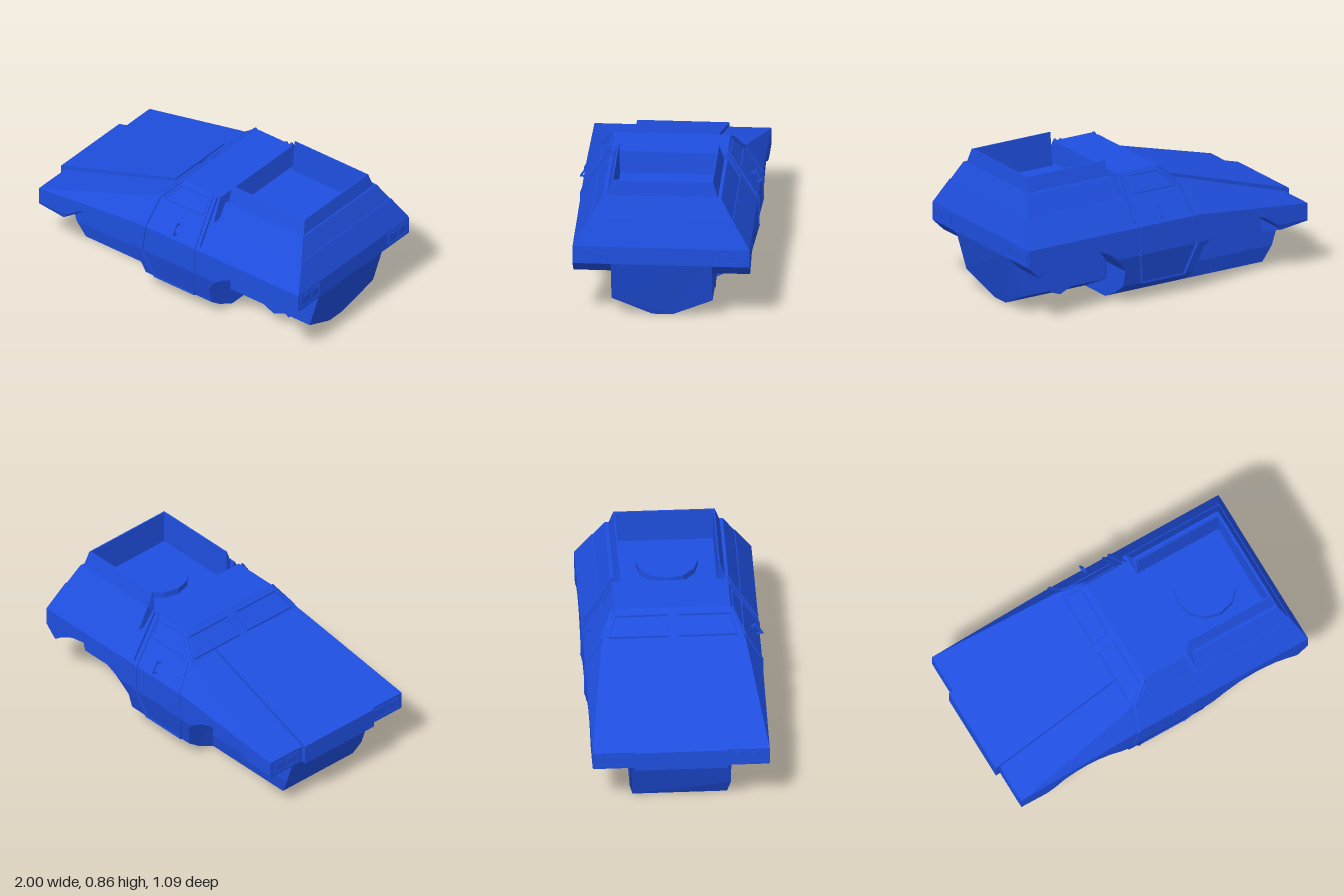
import * as THREE from 'three';
import { ConvexGeometry } from 'three/addons/geometries/ConvexGeometry.js';

const paint = new THREE.MeshStandardMaterial({ color: 0x1f4fe0, flatShading: true, side: THREE.DoubleSide });
const V = (x, y, z) => new THREE.Vector3(x, y, z);
const lerp = THREE.MathUtils.lerp;

// Surface through rows of points
function grid(rows) {
  const pos = [];
  for (let i = 0; i < rows.length - 1; i++) {
    for (let j = 0; j < rows[i].length - 1; j++) {
      const a = rows[i][j], b = rows[i + 1][j], c = rows[i + 1][j + 1], d = rows[i][j + 1];
      for (const t of [[a, b, c], [a, c, d]]) {
        const area = t[1].clone().sub(t[0]).cross(t[2].clone().sub(t[0])).length();
        if (area > 1e-7) t.forEach(p => pos.push(p.x, p.y, p.z));
      }
    }
  }
  const g = new THREE.BufferGeometry();
  g.setAttribute('position', new THREE.Float32BufferAttribute(pos, 3));
  g.computeVertexNormals();
  return g;
}

function add(parent, name, geo) {
  const m = new THREE.Mesh(geo, paint);
  m.name = name;
  parent.add(m);
  return m;
}

// Move every vertex by a rule
function warp(geo, rule) {
  const p = geo.attributes.position, v = V(0, 0, 0);
  for (let i = 0; i < p.count; i++) {
    rule(v.fromBufferAttribute(p, i));
    p.setXYZ(i, v.x, v.y, v.z);
  }
  geo.computeVertexNormals();
  return geo;
}

// Symmetric cross-section, given as right half [z, y], extruded along x
function extrudeX(half, x0, x1) {
  const pts = [...half, ...half.map(([z, y]) => [-z, y]).reverse()].map(p => new THREE.Vector2(...p));
  const g = new THREE.ExtrudeGeometry(new THREE.Shape(pts), { depth: x1 - x0, bevelEnabled: false });
  return g.rotateY(Math.PI / 2).translate(x0, 0, 0);
}

// Square bar between two points
function bar(parent, name, a, b, w, d = w) {
  const m = add(parent, name, new THREE.BoxGeometry(w, d, a.distanceTo(b)));
  m.position.copy(a).add(b).multiplyScalar(0.5);
  m.lookAt(b);
  return m;
}
function bars(parent, name, pts, w, closed) {
  const n = closed ? pts.length : pts.length - 1;
  for (let i = 0; i < n; i++) bar(parent, name, pts[i], pts[(i + 1) % pts.length], w);
}

// Body lines: belt height, roof line and side width
const beltY = x => (x < -0.2 ? lerp(0.41, 0.485, (x + 0.97) / 0.77) : 0.485);
function topY(x) {
  if (x <= -0.17) return lerp(0.41, 0.65, (x + 0.97) / 0.8);
  if (x <= -0.02) return lerp(0.65, 0.78, (x + 0.17) / 0.15);
  if (x <= 0.26) return 0.78;
  return x <= 0.94 ? 0.65 : 0.485;
}
const slopeZ = (x, y) => 0.525 - 0.61 * (y - beltY(x));
const lowZ = y => 0.525 - 0.05 * Math.max(0, (0.31 - y) / 0.195);
const sideZ = (x, y) => (y > beltY(x) ? slopeZ(x, y) : lowZ(y));
const onSide = (x, y, s, out = 0) => V(x, y, s * (sideZ(x, y) + out));

// Half section: keel, inner edge, outer edge, tuck, belt, top
function station(x, yb, yk = yb) {
  const t = topY(x);
  const low = yb === null
    ? [[0.28, 0], [0.4, 0.06], [0.475, 0.115], [0.525, 0.31]]
    : [[0.3, yk], [0.3, yk], [lowZ(yb), yb], [0.525, Math.max(yb, 0.31)]];
  return [...low, [0.525, beltY(x)], [slopeZ(x, t), t]].map(([z, y]) => V(x, y, z));
}
const mirrored = row => row.map(p => V(p.x, p.y, -p.z));

export function createModel() {
  const model = new THREE.Group();
  model.name = 'armouredCar';

  // Body shell with wheel arches
  const frontArch = [[-0.97, 0.3], [-0.79, 0.275, 0.2], [-0.785, 0.28], [-0.74, 0.325], [-0.67, 0.375], [-0.59, 0.4],
    [-0.52, 0.405], [-0.44, 0.395], [-0.36, 0.365], [-0.29, 0.32], [-0.24, 0.27]];
  const cab = [[-0.2, null], [-0.17, null], [-0.02, null], [0.26, null], [0.275, null], [0.3, null]];
  const rearArch = [[0.3, 0.22], [0.35, 0.29], [0.43, 0.355], [0.53, 0.4], [0.65, 0.412], [0.77, 0.39],
    [0.86, 0.345], [0.92, 0.3], [0.94, 0.32], [0.996, 0.375]];
  const halves = [...frontArch, ...cab, ...rearArch].map(s => station(...s));
  add(model, 'bodyShell', grid(halves.map(h => [...h, ...mirrored(h).reverse()])));
  const first = halves[0], last = halves[halves.length - 1];
  add(model, 'frontPanel', grid([mirrored(first), first]));
  add(model, 'rearPanel', grid([last, mirrored(last)]));

  // Lower hull, raked at both ends
  add(model, 'frontHull', warp(extrudeX([[0.28, 0], [0.3, 0.1], [0.3, 0.4]], -0.81, 0.3), v => {
    if (v.x < 0) v.x = Math.max(-0.965, -0.81 - 0.533 * v.y);
  }));
  add(model, 'rearHull', warp(extrudeX([[0.06, 0], [0.3, 0.115], [0.3, 0.42]], 0.25, 0.86), v => {
    if (v.x > 0.5) v.x = Math.min(0.99, 0.86 + 0.365 * v.y);
  }));

  // Raised bonnet, narrowing towards the windscreen
  const bonnet = new THREE.Shape([[-1, 0.425], [-1, 0.3], [-0.95, 0.3], [-0.17, 0.6], [-0.17, 0.67]]
    .map(p => new THREE.Vector2(...p)));
  const bonnetGeo = new THREE.ExtrudeGeometry(bonnet, { depth: 2, bevelEnabled: false }).translate(0, 0, -1);
  add(model, 'bonnet', warp(bonnetGeo, v => { v.z *= lerp(0.275, 0.23, (v.x + 1) / 0.83); }));

  // Open-fronted rear tub: [y, half width, rear x, front x]
  const levels = [[0.65, 0.42, 0.935, 0.3], [0.77, 0.35, 0.89, 0.305], [0.77, 0.33, 0.88, 0.315],
    [0.86, 0.3, 0.865, 0.315], [0.86, 0.292, 0.857, 0.315], [0.65, 0.29, 0.857, 0.3]];
  const tub = levels.map(([y, z, xr, xf]) => [V(xf, y, -z), V(xr, y, -z), V(xr, y, z), V(xf, y, z)]);
  add(model, 'tubWalls', grid(tub));
  for (const k of [0, 3]) {
    const e = tub.map(r => r[k]);
    add(model, 'tubWallEnd', grid([e.slice(0, 5), Array(5).fill(e[5])]));
  }
  add(model, 'tubHatch', new THREE.CylinderGeometry(0.185, 0.185, 0.04, 12).translate(0.595, 0.67, 0));

  for (const s of [1, -1]) {
    const side = new THREE.Group();
    side.name = s > 0 ? 'nearSide' : 'farSide';
    model.add(side);

    // Door seams, pillar bar and side window
    const P = (x, y, out = 0) => onSide(x, y, s, out);
    bars(side, 'doorFrontSeam', [P(-0.025, 0.775), P(-0.135, 0.65), P(-0.165, 0.485), P(-0.19, 0.31), P(-0.13, 0.115)], 0.014);
    bars(side, 'doorRearSeam', [P(0.207, 0.78), P(0.207, 0.485), P(0.207, 0.31), P(0.17, 0.115)], 0.014);
    bar(side, 'doorSill', P(-0.13, 0.115), P(0.17, 0.115), 0.01);
    bar(side, 'pillarBar', P(0.24, 0.78, 0.005), P(0.24, 0.51, 0.005), 0.014, 0.022);
    bars(side, 'sideWindowFrame', [P(-0.1, 0.66), P(-0.01, 0.755), P(0.185, 0.755), P(0.19, 0.675), P(0.18, 0.66)], 0.007, true);

    // Door handle
    const grip = [V(0.055, 0.59, s * 0.497), V(0.055, 0.52, s * 0.54)];
    bar(side, 'handle', ...grip, 0.01);
    bar(side, 'handleMount', P(0.055, 0.57), V(0.055, 0.582, s * 0.502), 0.01);
    bar(side, 'handleMount', P(0.055, 0.515), V(0.055, 0.528, s * 0.535), 0.01);

    // Windscreen frame
    const glass = (t, z) => V(-0.17 + 0.15 * t, 0.65 + 0.13 * t, s * z);
    bars(side, 'windscreenFrame', [glass(0.13, 0.03), glass(0.78, 0.03), glass(0.78, 0.345), glass(0.13, 0.385)], 0.012, true);

    // Lamp clusters at both ends
    for (const [x, y, z, w, h] of [[0.996, 0.4325, 0.413, 0.185, 0.075], [-0.97, 0.355, 0.4, 0.19, 0.07]]) {
      const c = (dy, dz) => V(x, y + dy * h / 2, s * (z + dz * w / 2));
      bars(side, 'lampFrame', [c(-1, -1), c(1, -1), c(1, 1), c(-1, 1)], 0.007, true);
      for (const k of [-1, 1]) {
        const lamp = add(side, 'lamp', new THREE.BoxGeometry(0.007, h * 0.7, w * 0.4));
        lamp.position.set(x, y, s * (z + k * w * 0.25));
      }
    }

    // Small wedge under the rear wheel well
    add(side, 'axleWedge', new ConvexGeometry([V(0.55, 0.116, s * 0.3), V(0.71, 0.116, s * 0.3),
      V(0.63, 0.08, s * 0.3), V(0.63, 0.06, s * 0.19), V(0.63, 0.14, s * 0.25)]));
  }
  return model;
}
